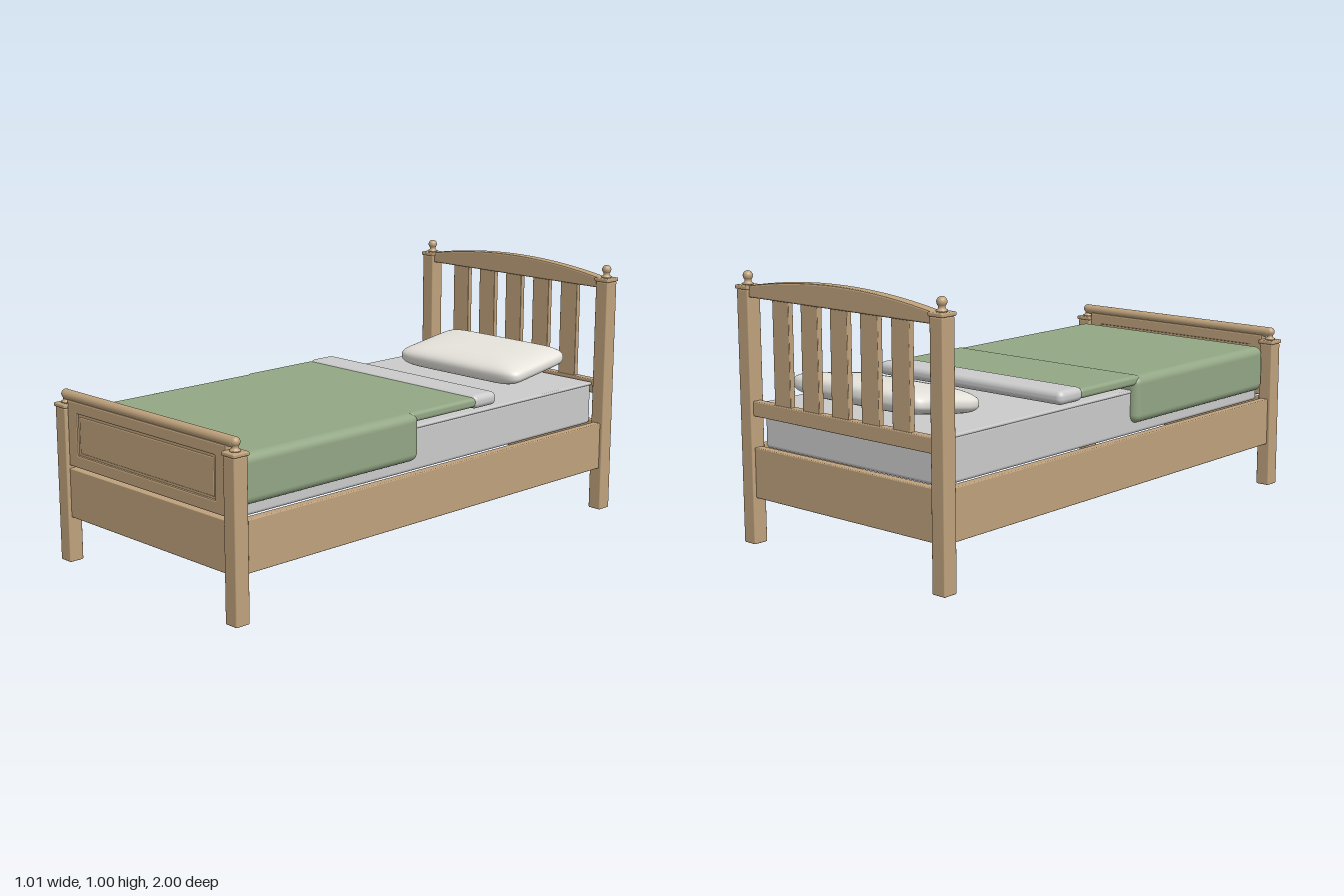
import * as THREE from 'three';
import { RoundedBoxGeometry } from 'three/addons/geometries/RoundedBoxGeometry.js';
import { mergeVertices } from 'three/addons/utils/BufferGeometryUtils.js';

const material = (color) => new THREE.MeshStandardMaterial({ color });

export function createModel() {
  const bed = new THREE.Group();
  bed.name = 'bed';
  const wood = material(0xbfa27c);
  const green = material(0x93a785);
  const grey = material(0xcccccc);
  const white = material(0xe6e3dc);

  function add(name, geometry, mat, x = 0, y = 0, z = 0, parent = bed) {
    const mesh = new THREE.Mesh(geometry, mat);
    mesh.name = name;
    mesh.position.set(x, y, z);
    parent.add(mesh);
    return mesh;
  }
  // Rounded box given by its extents on each axis
  function block(name, mat, [x0, x1], [y0, y1], [z0, z1], radius = 0.004, segments = 2, parent = bed) {
    const geometry = new RoundedBoxGeometry(x1 - x0, y1 - y0, z1 - z0, segments, radius);
    return add(name, geometry, mat, (x0 + x1) / 2, (y0 + y1) / 2, (z0 + z1) / 2, parent);
  }
  // Extruded outline with a small bevel, centred on its own z
  function slab(shape, depth, bevel) {
    return new THREE.ExtrudeGeometry(shape, {
      depth: depth - 2 * bevel, bevelSize: bevel, bevelThickness: bevel,
      bevelOffset: -bevel, bevelSegments: 2, curveSegments: 32,
    }).translate(0, 0, bevel - depth / 2);
  }
  function rectangle(path, x, y0, y1) {
    path.moveTo(-x, y0);
    path.lineTo(x, y0);
    path.lineTo(x, y1);
    path.lineTo(-x, y1);
    path.closePath();
    return path;
  }

  // Four posts, each with a square cap and a ball finial
  const finial = [[0, 0], [0.02, 0], [0.02, 0.005], [0.013, 0.009], [0.012, 0.014]];
  for (let i = 0; i <= 12; i++) {
    const a = -0.85 + (i / 12) * (Math.PI / 2 + 0.85);
    finial.push([Math.max(0, 0.018 * Math.cos(a)), 0.032 + 0.018 * Math.sin(a)]);
  }
  const finialGeometry = new THREE.LatheGeometry(finial.map(([r, y]) => new THREE.Vector2(r, y)), 24);
  for (const [end, z, height] of [['head', -0.965, 0.932], ['foot', 0.965, 0.585]]) {
    for (const side of [-1, 1]) {
      const post = new THREE.Group();
      post.name = `${end}Post${side > 0 ? 'Left' : 'Right'}`;
      post.position.set(side * 0.472, 0, z);
      block('postShaft', wood, [-0.029, 0.029], [0, height], [-0.03, 0.03], 0.005, 2, post);
      block('postCap', wood, [-0.034, 0.034], [height, height + 0.015], [-0.035, 0.035], 0.005, 2, post);
      add('finial', finialGeometry, wood, 0, height + 0.015, 0, post);
      bed.add(post);
    }
    // Low board joining the two posts
    block(`${end}EndRail`, wood, [-0.443, 0.443], [0.173, 0.36], [z - 0.018, z + 0.018]);
  }

  // Side rails
  for (const side of [-1, 1]) {
    const rail = block('sideRail', wood, [-0.018, 0.018], [0.173, 0.36], [-0.937, 0.937]);
    rail.position.x = side * 0.471;
  }

  // Headboard: arched top rail, lower rail and five slats
  const arch = new THREE.Shape();
  arch.moveTo(-0.445, 0.905);
  arch.lineTo(0.445, 0.905);
  arch.lineTo(0.445, 0.947);
  arch.quadraticCurveTo(0, 1.026, -0.445, 0.947);
  arch.closePath();
  add('headTopRail', slab(arch, 0.044, 0.006), wood, 0, 0, -0.966);
  block('headLowerRail', wood, [-0.445, 0.445], [0.475, 0.53], [-0.983, -0.947]);
  for (let i = -2; i <= 2; i++) {
    const slat = block('headSlat', wood, [-0.042, 0.042], [0.52, 0.912], [-0.976, -0.954], 0.003);
    slat.position.x = i * 0.1465;
  }

  // Footboard: frame with a recessed panel and a round top bar
  const frame = rectangle(new THREE.Shape(), 0.443, 0.37, 0.618);
  frame.holes.push(rectangle(new THREE.Path(), 0.386, 0.418, 0.572));
  add('footFrame', slab(frame, 0.036, 0.006), wood, 0, 0, 0.965);
  block('footPanel', wood, [-0.4, 0.4], [0.4, 0.59], [0.954, 0.976], 0.003);
  block('footPanelField', wood, [-0.377, 0.377], [0.427, 0.563], [0.951, 0.979], 0.004);
  const bar = add('footTopBar', new THREE.CapsuleGeometry(0.0195, 0.93, 6, 24), wood, 0, 0.63, 0.965);
  bar.rotation.z = Math.PI / 2;

  // Mattress with a thin piped edge
  block('mattress', grey, [-0.436, 0.436], [0.352, 0.518], [-0.937, 0.932], 0.014, 4);
  block('mattressPiping', grey, [-0.439, 0.439], [0.51, 0.522], [-0.938, 0.934], 0.005, 3);

  // Bedding: draped cover, folded layer and turned-back sheet
  block('cover', green, [-0.466, 0.466], [0.395, 0.575], [0.083, 0.936], 0.032, 6);
  block('foldedCover', green, [-0.455, 0.455], [0.54, 0.577], [-0.23, 0.12], 0.014, 4);
  block('turnedSheet', grey, [-0.456, 0.456], [0.532, 0.584], [-0.346, -0.215], 0.023, 6);

  // Pillow: a sphere squared off in plan, tilted up against the headboard
  const pillow = new THREE.SphereGeometry(1, 96, 40);
  const point = pillow.attributes.position;
  const power = (v, e) => Math.sign(v) * Math.abs(v) ** e;
  for (let i = 0; i < point.count; i++) {
    const x = point.getX(i), y = point.getY(i), z = point.getZ(i);
    const r = Math.hypot(x, z) || 1;
    const spread = Math.min(1, Math.hypot(x, z)) ** 0.6;
    point.setXYZ(i, 0.323 * spread * power(x / r, 0.22), 0.051 * power(y, 0.75),
      0.171 * spread * power(z / r, 0.22));
  }
  pillow.deleteAttribute('uv');
  pillow.deleteAttribute('normal');
  const softPillow = mergeVertices(pillow, 1e-5);
  softPillow.computeVertexNormals();
  add('pillow', softPillow, white, -0.002, 0.587, -0.763).rotation.x = 0.15;

  return bed;
}
